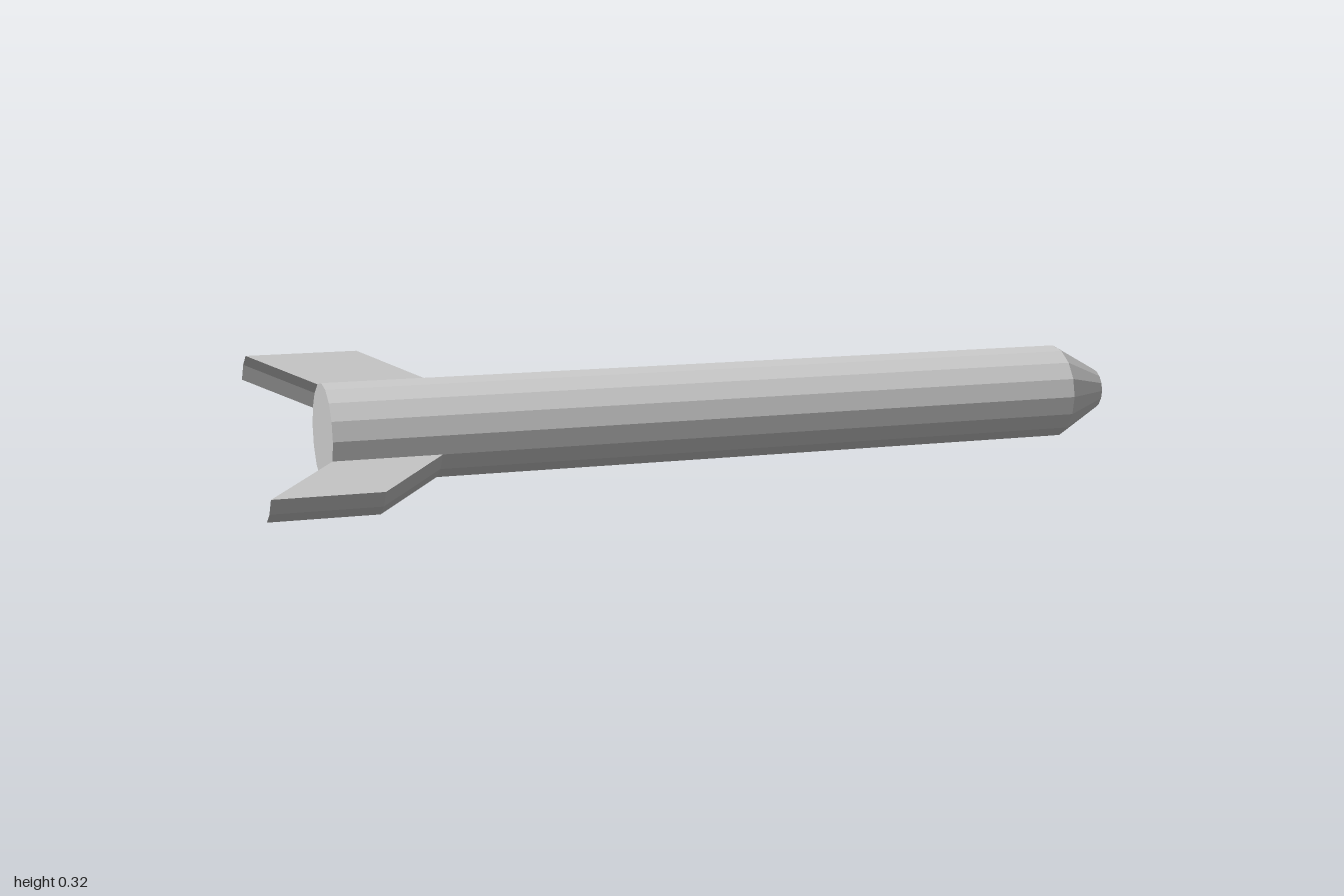
import * as THREE from 'three';

const SIDES = 16;
const RADIUS = 0.109;
const AXIS_HEIGHT = 0.161;
const TAIL_X = -0.86;

const material = new THREE.MeshStandardMaterial({ color: 0xcccccc, flatShading: true });

function addMesh(parent, geometry, name) {
  const mesh = new THREE.Mesh(geometry, material);
  mesh.name = name;
  parent.add(mesh);
  return mesh;
}

// Faceted solid turned around the x axis from [x, radius] pairs
function turned(profile) {
  const points = profile.map(([x, r]) => new THREE.Vector2(r, x));
  return new THREE.LatheGeometry(points, SIDES).rotateZ(-Math.PI / 2);
}

// Swept-back fin: two neighbouring hull facets pushed outward and toward the tail
function finGeometry() {
  const geometry = new THREE.BoxGeometry(1, 1, 1, 1, 1, 2);
  const pos = geometry.attributes.position;
  const push = 0.06;
  for (let i = 0; i < pos.count; i++) {
    const fore = pos.getX(i) > 0;
    const tip = pos.getY(i) > 0;
    const angle = Math.PI / 4 * (1 - pos.getZ(i)); // measured from straight up
    const x = tip ? (fore ? -0.762 : -1) : (fore ? -0.625 : TAIL_X);
    const out = tip ? push : 0;
    pos.setXYZ(i, x, RADIUS * Math.cos(angle) + out, -RADIUS * Math.sin(angle) - out);
  }
  geometry.computeVertexNormals();
  return geometry;
}

export function createModel() {
  const model = new THREE.Group();
  model.name = 'rocket';

  const rocket = new THREE.Group();
  rocket.name = 'rocketParts';
  rocket.position.y = AXIS_HEIGHT;
  model.add(rocket);

  // Hull with closed tail, then blunt nose
  addMesh(rocket, turned([[TAIL_X, 0], [TAIL_X, RADIUS], [0.89, RADIUS]]), 'body');
  addMesh(rocket, turned([[0.89, RADIUS], [1, 0.0475], [1, 0]]), 'noseCone');

  // Two fins on opposite sides of the tail
  const fin = finGeometry();
  ['upperFin', 'lowerFin'].forEach((name, i) => {
    addMesh(rocket, fin, name).rotation.x = i * Math.PI;
  });

  return model;
}
